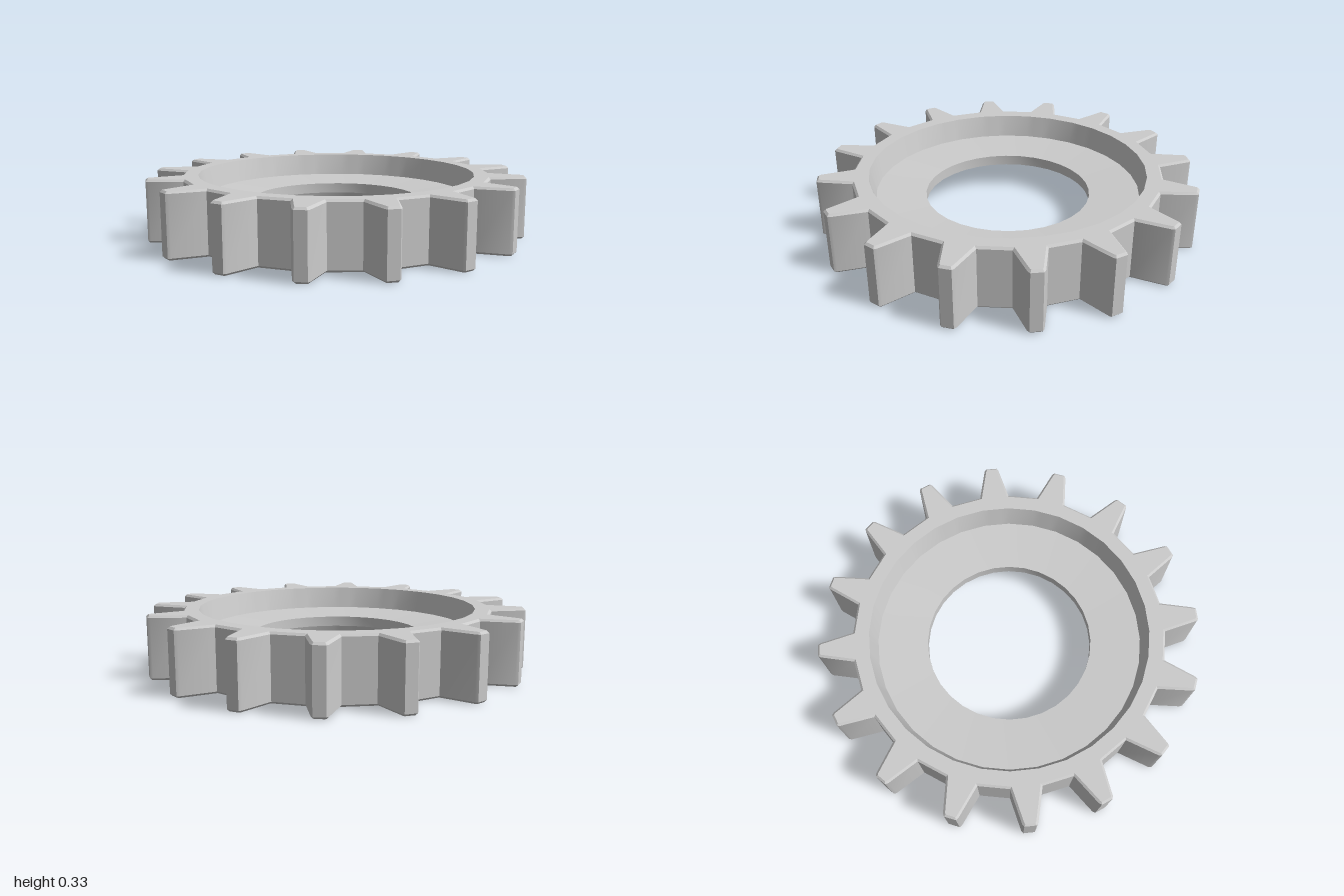
import * as THREE from 'three';
import { toCreasedNormals } from 'three/addons/utils/BufferGeometryUtils.js';

const TEETH = 16, HEIGHT = 0.33, BEVEL = 0.011;
const RIM_R = 0.735, WEB_R = 0.705, HOLE_R = 0.44;
const RAD = Math.PI / 180;

// Points per tooth pitch: [degrees, radius, place along the inner facet 0..1]
const PITCH = [
  [0, 0.82, 0],            // valley start
  [11.25, 0.82, 0],        // tooth root
  [14.6, 0.989, 0.3],      // flank top
  [15.15, 1.002, 0.4],     // tip with chamfered corners
  [18.6, 1.002, 0.6],
  [19.15, 0.989, 0.7],
];

const polar = (deg, r) => new THREE.Vector2(Math.cos(deg * RAD) * r, Math.sin(deg * RAD) * r);

// Moves every edge of a closed outline inward by d, with mitred corners
function inset(points, d) {
  const n = points.length;
  const normal = (a, b) => new THREE.Vector2(b.y - a.y, a.x - b.x).normalize();
  return points.map((p, i) => {
    const n1 = normal(points[(i + n - 1) % n], p);
    const n2 = normal(p, points[(i + 1) % n]);
    const m = n1.clone().add(n2);
    return p.clone().addScaledVector(m, -d / (1 + n1.dot(n2)));
  });
}

// Joins closed loops of equal length into one skin
function skin(layers) {
  const n = layers[0].loop.length, pos = [], index = [];
  for (const { loop, y } of layers) for (const p of loop) pos.push(p.x, y, p.y);
  for (let j = 0; j < layers.length - 1; j++) {
    for (let i = 0; i < n; i++) {
      const a = j * n + i, b = j * n + (i + 1) % n;
      index.push(a, a + n, b, b, a + n, b + n);
    }
  }
  const g = new THREE.BufferGeometry();
  g.setAttribute('position', new THREE.Float32BufferAttribute(pos, 3));
  g.setIndex(index);
  return toCreasedNormals(g, 0.4);
}

export function createModel() {
  const group = new THREE.Group();
  group.name = 'gear';
  const material = new THREE.MeshStandardMaterial({ color: 0xcccccc });
  const add = (name, geometry) => {
    const mesh = new THREE.Mesh(geometry, material);
    mesh.name = name;
    group.add(mesh);
  };

  // Toothed outline and the matching points on the 32-sided inner circle
  const step = 360 / TEETH, outline = [], unitCircle = [];
  for (let k = 0; k < TEETH; k++) {
    for (const [deg, r, t] of PITCH) {
      outline.push(polar(k * step + deg, r));
      const start = k * step + (deg < step / 2 ? 0 : step / 2);
      unitCircle.push(polar(start, 1).lerp(polar(start + step / 2, 1), t));
    }
  }
  const circle = r => unitCircle.map(p => p.clone().multiplyScalar(r));
  const face = inset(outline, BEVEL);

  // Toothed ring: recess wall, bottom face, bevels, teeth, top face, recess wall
  add('toothedRing', skin([
    { loop: circle(WEB_R), y: 0.12 },
    { loop: circle(RIM_R), y: 0 },
    { loop: face, y: 0 },
    { loop: outline, y: BEVEL },
    { loop: outline, y: HEIGHT - BEVEL },
    { loop: face, y: HEIGHT },
    { loop: circle(RIM_R), y: HEIGHT },
    { loop: circle(WEB_R), y: 0.21 },
  ]));

  // Thin web with slightly sloped faces and the central hole
  const profile = [[WEB_R, 0.21], [HOLE_R, 0.193], [HOLE_R, 0.137], [WEB_R, 0.12]]
    .map(([r, y]) => new THREE.Vector2(r, y));
  add('web', toCreasedNormals(new THREE.LatheGeometry(profile, TEETH * 2), 0.4));

  return group;
}
